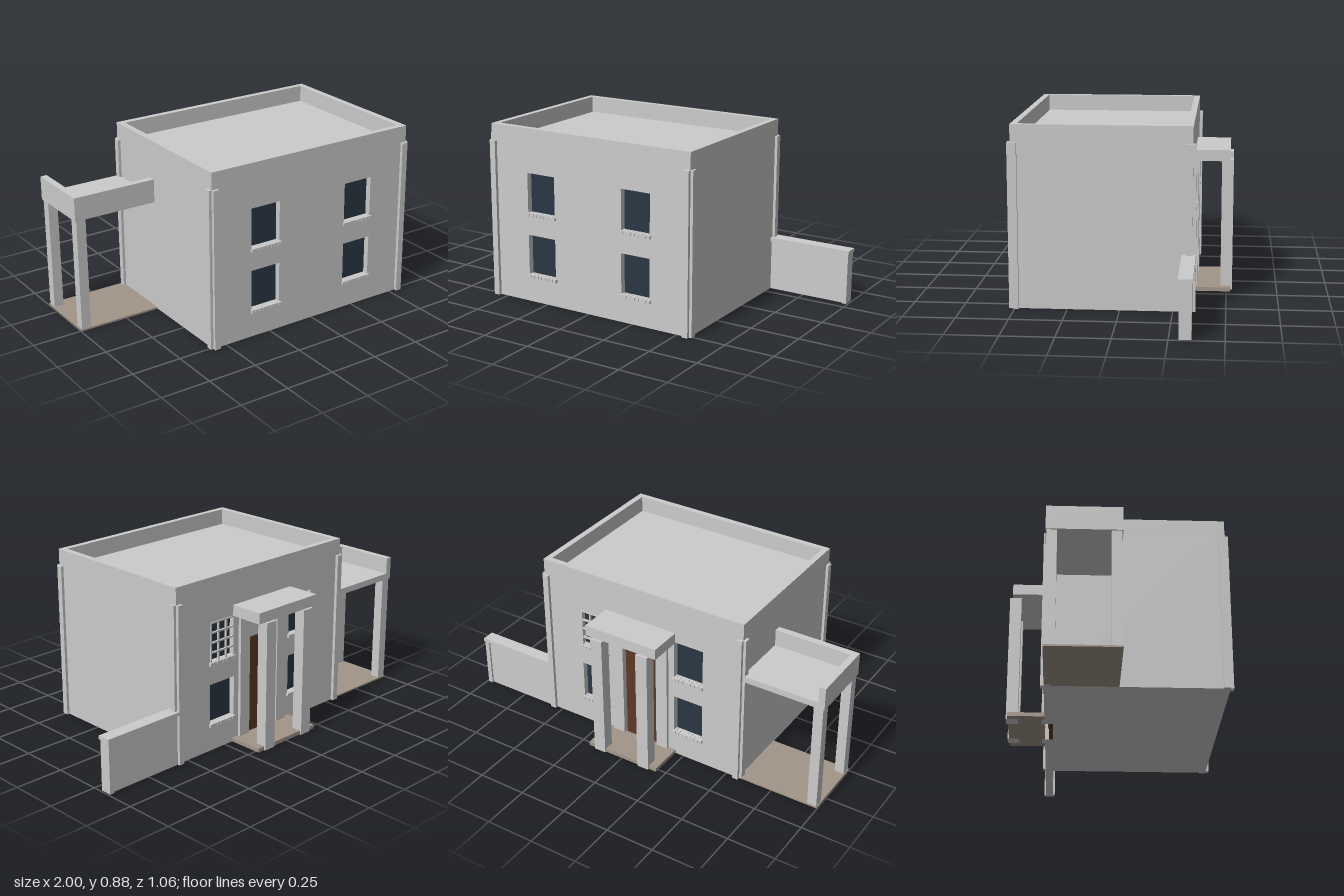
import * as THREE from 'three';

const GREY = new THREE.MeshStandardMaterial({ color: 0xcccccc });
const GLASS = new THREE.MeshStandardMaterial({ color: 0x2a3644 });
const WOOD = new THREE.MeshStandardMaterial({ color: 0x5e3826 });
const PAVING = new THREE.MeshStandardMaterial({ color: 0xa3968a });

// House block extents
const X0 = -0.573, X1 = 0.566, Z0 = -0.341, Z1 = 0.512, H = 0.8;
const RIM = 0.031, WALL = 0.04;

// Window openings shared by front and back: [left, right] x [bottom, top]
const COLS = [[-0.357, -0.196], [0.19, 0.35]];
const ROWS = [[0.135, 0.345], [0.452, 0.66]];

export function createModel() {
  const model = new THREE.Group();

  // Box given by its min and max along each axis
  function box(name, x0, x1, y0, y1, z0, z1, material = GREY, parent = model) {
    const mesh = new THREE.Mesh(new THREE.BoxGeometry(x1 - x0, y1 - y0, z1 - z0), material);
    mesh.position.set((x0 + x1) / 2, (y0 + y1) / 2, (z0 + z1) / 2);
    mesh.name = name;
    parent.add(mesh);
    return mesh;
  }

  // Solid core, with pierced walls in front and behind
  box('houseCore', X0, X1, 0, H, Z0 + WALL, Z1 - WALL);

  function piercedWall(name, z, withDoor) {
    const shape = new THREE.Shape();
    shape.moveTo(X0, 0);
    if (withDoor) {
      shape.lineTo(-0.105, 0).lineTo(-0.105, 0.52).lineTo(0.1, 0.52).lineTo(0.1, 0);
    }
    shape.lineTo(X1, 0).lineTo(X1, H).lineTo(X0, H).closePath();
    for (const [a, b] of COLS) for (const [c, d] of ROWS) {
      const hole = new THREE.Path();
      hole.moveTo(a, c).lineTo(a, d).lineTo(b, d).lineTo(b, c).closePath();
      shape.holes.push(hole);
    }
    const wall = new THREE.Mesh(
      new THREE.ExtrudeGeometry(shape, { depth: WALL, bevelEnabled: false }), GREY);
    wall.position.z = z;
    wall.name = name;
    model.add(wall);
  }
  piercedWall('frontWall', Z1 - WALL, false);
  piercedWall('backWall', Z0, true);

  // Recessed panes and brick sills; s = +1 front, -1 back
  for (const s of [1, -1]) {
    const face = s > 0 ? Z1 : Z0;
    const span = (near, far) => [Math.min(face + s * near, face + s * far), Math.max(face + s * near, face + s * far)];
    for (const [a, b] of COLS) for (const [c, d] of ROWS) {
      const win = new THREE.Group();
      win.name = 'window';
      model.add(win);
      box('pane', a, b, c, d, ...span(-0.039, -0.03), GLASS, win);
      box('sill', a - 0.004, b + 0.008, c - 0.008, c + 0.005, ...span(-0.03, 0.009), GREY, win);
      const n = 8, w = (b - a + 0.012) / n;
      for (let i = 0; i < n; i++) {
        const x = a - 0.004 + i * w;
        box('sillBrick', x + 0.001, x + w - 0.001, c - 0.009, c + 0.007, ...span(-0.028, 0.012), GREY, win);
      }
    }
  }

  // Window bars on one upper back window
  const bars = new THREE.Group();
  bars.name = 'windowBars';
  model.add(bars);
  const [bx0, bx1] = COLS[1], [by0, by1] = ROWS[1];
  for (let i = 0; i <= 3; i++) {
    const x = bx0 + 0.004 + (bx1 - bx0 - 0.008) * i / 3;
    box('uprightBar', x - 0.004, x + 0.004, by0, by1, Z0 - 0.004, Z0 + 0.006, GREY, bars);
  }
  for (let i = 0; i <= 4; i++) {
    const y = by0 + 0.004 + (by1 - by0 - 0.008) * i / 4;
    box('crossBar', bx0, bx1, y - 0.004, y + 0.004, Z0 - 0.004, Z0 + 0.006, GREY, bars);
  }

  // Roof parapet
  const P = 0.883;
  box('parapetFront', X0, X1, H, P, Z1 - RIM, Z1);
  box('parapetBack', X0, X1, H, P, Z0, Z0 + RIM);
  box('parapetRight', X0, X0 + RIM, H, P, Z0 + RIM, Z1 - RIM);
  box('parapetLeft', X1 - RIM, X1, H, P, Z0 + RIM, Z1 - RIM);

  // Corner pilasters, a strip on each outer face
  for (const [sx, x] of [[-1, X0], [1, X1]]) for (const [sz, z] of [[-1, Z0], [1, Z1]]) {
    const xi = x - sx * RIM, xo = x + sx * 0.014, zi = z - sz * RIM, zo = z + sz * 0.016;
    box('cornerPilaster', Math.min(xi, x), Math.max(xi, x), 0, H - 0.001, Math.min(z, zo), Math.max(z, zo));
    box('cornerPilaster', Math.min(x, xo), Math.max(x, xo), 0, H - 0.001, Math.min(zi, z), Math.max(zi, z));
  }

  // Back entrance: door, step, columns and canopy
  box('door', -0.105, 0.1, 0, 0.52, Z0 + 0.02, Z0 + 0.039, WOOD);
  box('doorSeam', -0.005, 0, 0.02, 0.515, Z0 + 0.016, Z0 + 0.02, WOOD);
  box('porchStep', -0.204, 0.199, 0, 0.02, -0.52, Z0, PAVING);
  for (const x of [-0.163, 0.095]) {
    box('porchColumn', x, x + 0.064, 0, 0.657, -0.528, -0.47);
    box('porchPilaster', x, x + 0.064, 0, 0.657, -0.356, Z0);
  }
  box('porchCanopy', -0.203, 0.197, 0.657, 0.712, -0.513, Z0);

  // Carport on the right side
  box('carportFloor', -0.998, X0, 0, 0.008, Z0, 0.004, PAVING);
  box('carportRoof', -1, X0, 0.573, 0.605, Z0, 0.005);
  box('carportParapetSide', -1, -0.967, 0.605, 0.69, Z0, 0.005);
  box('carportParapetFront', -0.967, X0, 0.605, 0.69, -0.03, 0.005);
  for (const z of [Z0 + 0.004, -0.047]) {
    box('carportPost', -0.993, -0.944, 0.008, 0.573, z, z + 0.048);
  }

  // Garden wall on the left side, with end pier and coping
  box('gardenWall', X1, 0.967, 0, 0.258, -0.343, -0.305);
  box('gardenWallPier', 0.967, 0.992, 0, 0.258, -0.353, -0.295);
  box('gardenWallCoping', X1, 0.997, 0.258, 0.276, -0.357, -0.29);

  return model;
}
